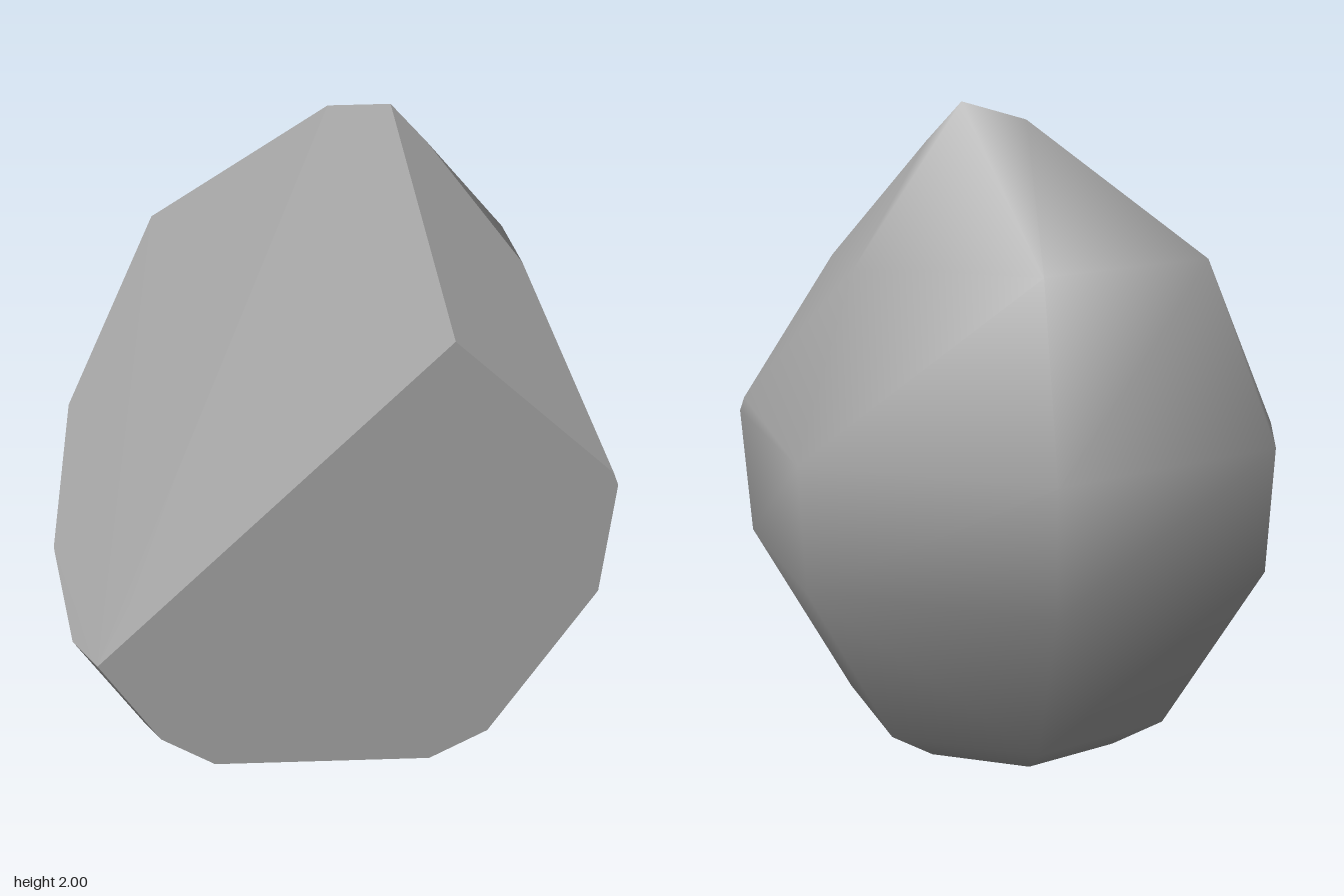
import * as THREE from 'three';
import { ConvexGeometry } from 'three/addons/geometries/ConvexGeometry.js';
import { mergeVertices } from 'three/addons/utils/BufferGeometryUtils.js';

// Flat cuts across the boulder, each a plane z = a + b*x + c*y
const CUTS = [
  { name: 'frontCut', a: 0.4176, b: 0.1237, c: 0.0662 },
  { name: 'upperRightCut', a: 1.3945, b: 1.055, c: -0.763 },
  { name: 'upperLeftCut', a: 2.619, b: -1.052, c: -1.154 },
];
// Outline points (x, y) lying on each cut
const OUTLINES = [
  [[0.3, 1.515], [-0.685, 0.41], [-0.51, 0.11], [-0.35, 0], [0.3, 0], [0.47, 0.11], [0.755, 0.65], [0.775, 1.03], [0.76, 1.07]],
  [[0.21, 2], [-0.75, 0.44], [-0.78, 0.65], [-0.7, 1.02], [-0.42, 1.56], [0.06, 1.955]],
  [[0.565, 1.56], [0.31, 1.89]],
];

function boulderPoints() {
  const points = [];
  CUTS.forEach(({ a, b, c }, i) => {
    for (const [x, y] of OUTLINES[i]) points.push(new THREE.Vector3(x, y, a + b * x + c * y));
  });
  // Rounded back: one outline scaled at each height
  const back = [[0.775, -0.11], [0.18, -0.585], [-0.56, -0.42]];
  const rings = [[0, 0.413], [0.11, 0.606], [0.65, 0.974], [1.03, 1], [1.56, 0.73]];
  for (const [y, s] of rings) {
    for (const [x, z] of back) {
      if (y === 1.56 && x < 0) continue; // already on the upper right cut
      points.push(new THREE.Vector3(x * s, y, 0.267 + (z - 0.267) * s));
    }
  }
  // Lower corners beside the front cut
  points.push(new THREE.Vector3(-0.55, 0.11, 0.28), new THREE.Vector3(-0.39, 0, 0.28), new THREE.Vector3(0.32, 0, 0.4));
  return points;
}

export function createModel() {
  const group = new THREE.Group();
  group.name = 'boulder';
  const stone = new THREE.MeshStandardMaterial({ color: 0xa0a0a0 });
  stone.name = 'grey stone';

  // Sort hull triangles into flat cuts and the smooth body
  const pos = new ConvexGeometry(boulderPoints()).getAttribute('position');
  const normals = CUTS.map(({ b, c }) => new THREE.Vector3(-b, -c, 1).normalize());
  const parts = [[], [], [], []];
  const tri = new THREE.Triangle();
  const n = new THREE.Vector3();
  for (let i = 0; i < pos.count; i += 3) {
    tri.setFromAttributeAndIndices(pos, i, i + 1, i + 2);
    tri.getNormal(n);
    const cut = normals.findIndex((m) => m.dot(n) > 0.99);
    const list = parts[cut < 0 ? 3 : cut];
    for (const p of [tri.a, tri.b, tri.c]) list.push(p.x, p.y, p.z);
  }

  parts.forEach((list, i) => {
    let geometry = new THREE.BufferGeometry();
    geometry.setAttribute('position', new THREE.Float32BufferAttribute(list, 3));
    geometry = mergeVertices(geometry, 1e-4); // shared corners give smooth shading
    geometry.computeVertexNormals();
    const mesh = new THREE.Mesh(geometry, stone);
    mesh.name = i < 3 ? CUTS[i].name : 'roundedBody';
    group.add(mesh);
  });
  return group;
}
